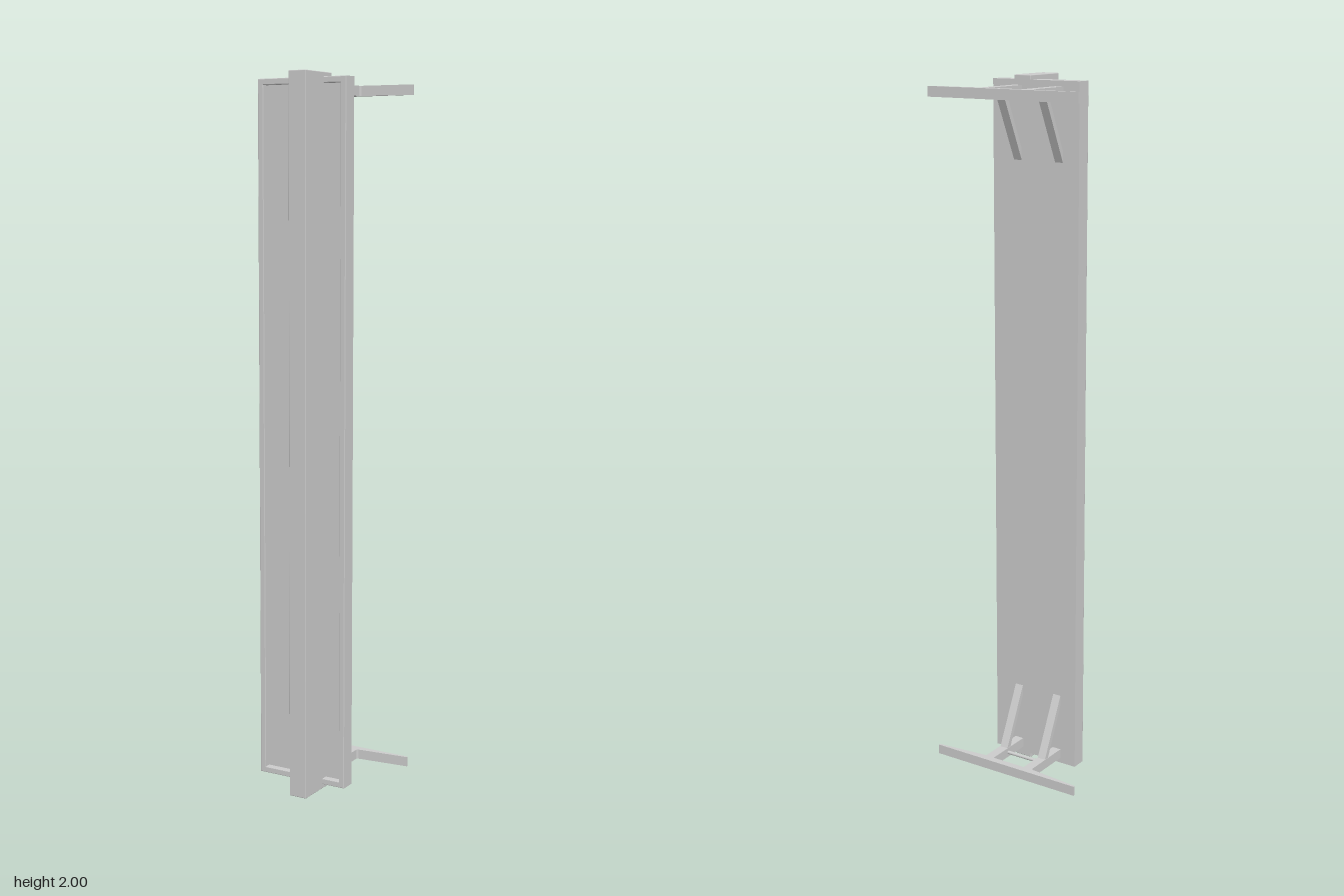
import * as THREE from 'three';
import { RoundedBoxGeometry } from 'three/addons/geometries/RoundedBoxGeometry.js';

const material = new THREE.MeshStandardMaterial({ color: 0xcccccc });

function add(parent, name, geometry, x = 0, y = 0, z = 0) {
  const mesh = new THREE.Mesh(geometry, material);
  mesh.name = name;
  mesh.position.set(x, y, z);
  parent.add(mesh);
  return mesh;
}

const polygon = (points) => new THREE.Shape(points.map(([x, y]) => new THREE.Vector2(x, y)));

const rectangle = (x0, y0, x1, y1) => polygon([[x0, y0], [x1, y0], [x1, y1], [x0, y1]]);

// Tapered crosspiece with two arms reaching to the panel, drawn in plan (y = -z)
function bracketGeometry(thickness) {
  const shape = new THREE.Shape();
  shape.moveTo(-0.237, 0.157);
  shape.lineTo(-0.237, 0.151);
  shape.lineTo(-0.086, 0.136);
  shape.quadraticCurveTo(-0.08, 0.135, -0.08, 0.129);
  shape.lineTo(-0.08, -0.02);
  shape.lineTo(-0.053, -0.02);
  shape.lineTo(-0.053, 0.136);
  shape.lineTo(0.053, 0.136);
  shape.lineTo(0.053, -0.02);
  shape.lineTo(0.08, -0.02);
  shape.lineTo(0.08, 0.129);
  shape.quadraticCurveTo(0.08, 0.135, 0.086, 0.136);
  shape.lineTo(0.237, 0.151);
  shape.lineTo(0.237, 0.157);
  const geometry = new THREE.ExtrudeGeometry(shape, { depth: thickness, bevelEnabled: false });
  return geometry.rotateX(-Math.PI / 2);
}

// Upper support, measured from mid height
function createSupport(name) {
  const support = new THREE.Group();
  support.name = name;
  add(support, 'bracket', bracketGeometry(0.028), 0, 0.945, 0);

  // Rod between the arms
  const rod = new THREE.CylinderGeometry(0.005, 0.005, 0.11, 16).rotateZ(Math.PI / 2);
  add(support, 'crossRod', rod, 0, 0.959, -0.06);

  // Diagonal struts, side profile in (z, y), extruded across x
  const profile = polygon([[0.022, 0.765], [0.022, 0.796], [-0.05, 0.95], [-0.066, 0.95]]);
  for (const side of [-1, 1]) {
    const strut = new THREE.ExtrudeGeometry(profile, { depth: 0.025, bevelEnabled: false });
    strut.translate(0, 0, -0.0125).rotateY(-Math.PI / 2);
    // The turn sends profile x to +z
    add(support, side < 0 ? 'rightStrut' : 'leftStrut', strut, side * 0.0665, 0, 0);
  }
  return support;
}

export function createModel() {
  const model = new THREE.Group();
  model.name = 'finnedPanel';

  // Back plate and raised rim of the shallow tray
  const plate = new THREE.BoxGeometry(0.277, 1.976, 0.026);
  add(model, 'panelBack', plate, 0.0085, 1, 0.031);

  const rimShape = rectangle(-0.128, 0.014, 0.145, 1.986);
  rimShape.holes.push(rectangle(-0.115, 0.027, 0.132, 1.973));
  const rim = new THREE.ExtrudeGeometry(rimShape, {
    depth: 0.018, bevelThickness: 0.002, bevelSize: 0.002, bevelSegments: 2,
  });
  add(model, 'panelRim', rim, 0, 0, 0.043);

  // Tall upright fin through the panel
  add(model, 'fin', new RoundedBoxGeometry(0.053, 2, 0.139, 2, 0.002), 0.0515, 1, 0.0875);

  // Matching supports at top and bottom
  const upper = createSupport('upperSupport');
  upper.position.y = 1;
  const lower = createSupport('lowerSupport');
  lower.position.y = 1;
  lower.rotation.z = Math.PI;
  model.add(upper, lower);

  return model;
}
